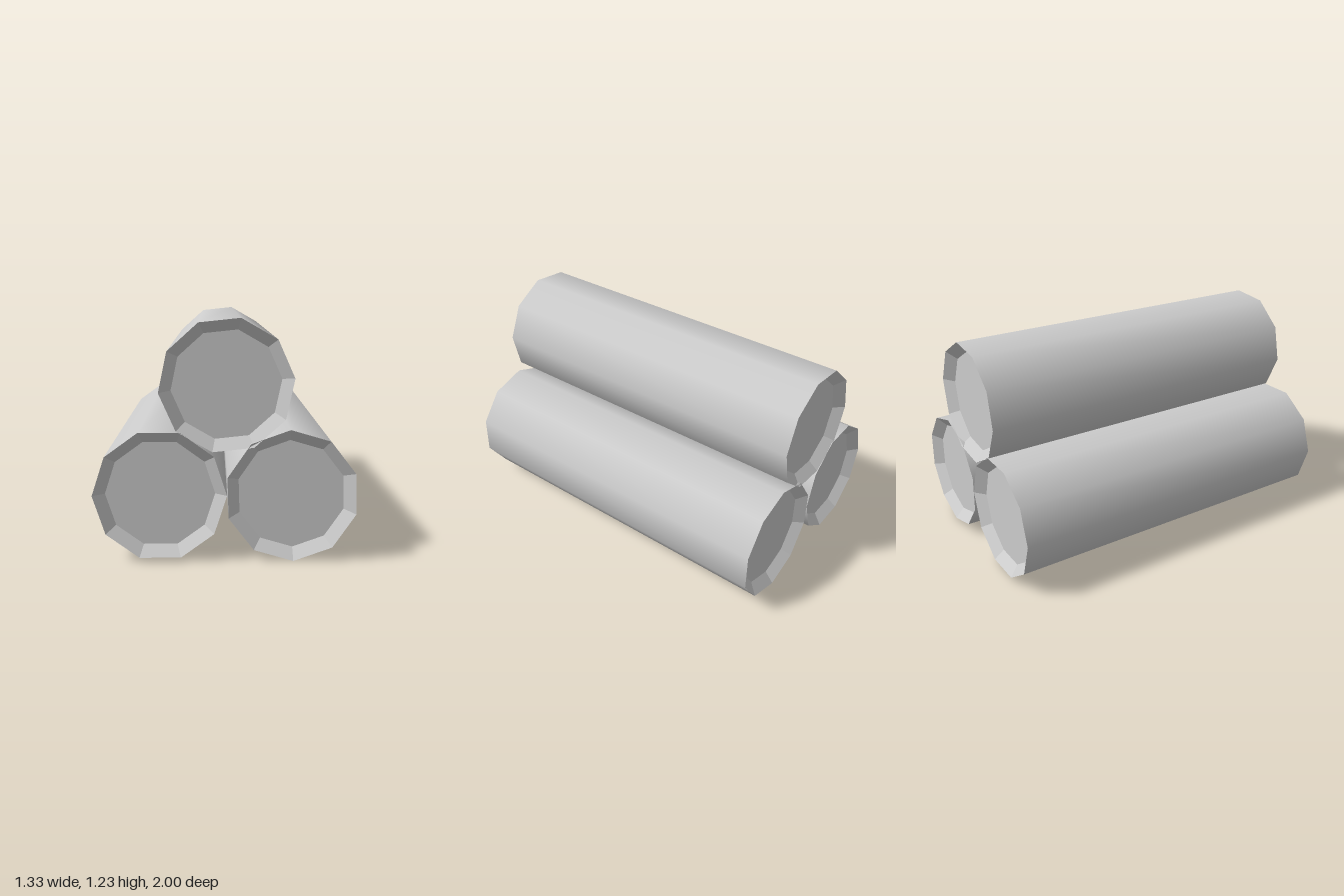
import * as THREE from 'three';

const SIDES = 10;
const RADIUS = 0.34; // outer radius of a log
const INNER = 0.28;  // radius of the sunken end face
const HALF = 1;      // half the length
const DEPTH = 0.05;  // how far the end face is sunk

// Centre of each log and the turn of its corners, in degrees
const LOGS = [
  { name: 'rightLog', x: -0.328, y: 0.345, turn: 0 },
  { name: 'leftLog', x: 0.34, y: 0.341, turn: 19.7 },
  { name: 'topLog', x: 0.009, y: 0.902, turn: 6 },
];

const barkMaterial = new THREE.MeshStandardMaterial({ color: 0xcccccc });
const endMaterial = new THREE.MeshStandardMaterial({ color: 0xcccccc, flatShading: true });

// Revolved end: bevel sloping inwards to a flat face
function makeEnd(name, points, start) {
  const profile = points.map(([r, y]) => new THREE.Vector2(r, y));
  const end = new THREE.Mesh(new THREE.LatheGeometry(profile, SIDES, start), endMaterial);
  end.name = name;
  return end;
}

function makeLog({ name, x, y, turn }) {
  const log = new THREE.Group();
  log.name = name;
  const start = Math.PI / 2 + THREE.MathUtils.degToRad(turn);

  // Smooth-shaded side
  const bark = new THREE.Mesh(
    new THREE.CylinderGeometry(RADIUS, RADIUS, HALF * 2, SIDES, 1, true, start),
    barkMaterial
  );
  bark.name = 'bark';

  // Sunken ends
  const face = HALF - DEPTH;
  log.add(
    bark,
    makeEnd('frontEnd', [[RADIUS, HALF], [INNER, face], [0, face]], start),
    makeEnd('backEnd', [[0, -face], [INNER, -face], [RADIUS, -HALF]], start)
  );

  // Lay the log along z
  log.rotation.x = Math.PI / 2;
  log.position.set(x, y, 0);
  return log;
}

export function createModel() {
  const model = new THREE.Group();
  model.name = 'logPile';
  LOGS.forEach((spec) => model.add(makeLog(spec)));
  return model;
}
